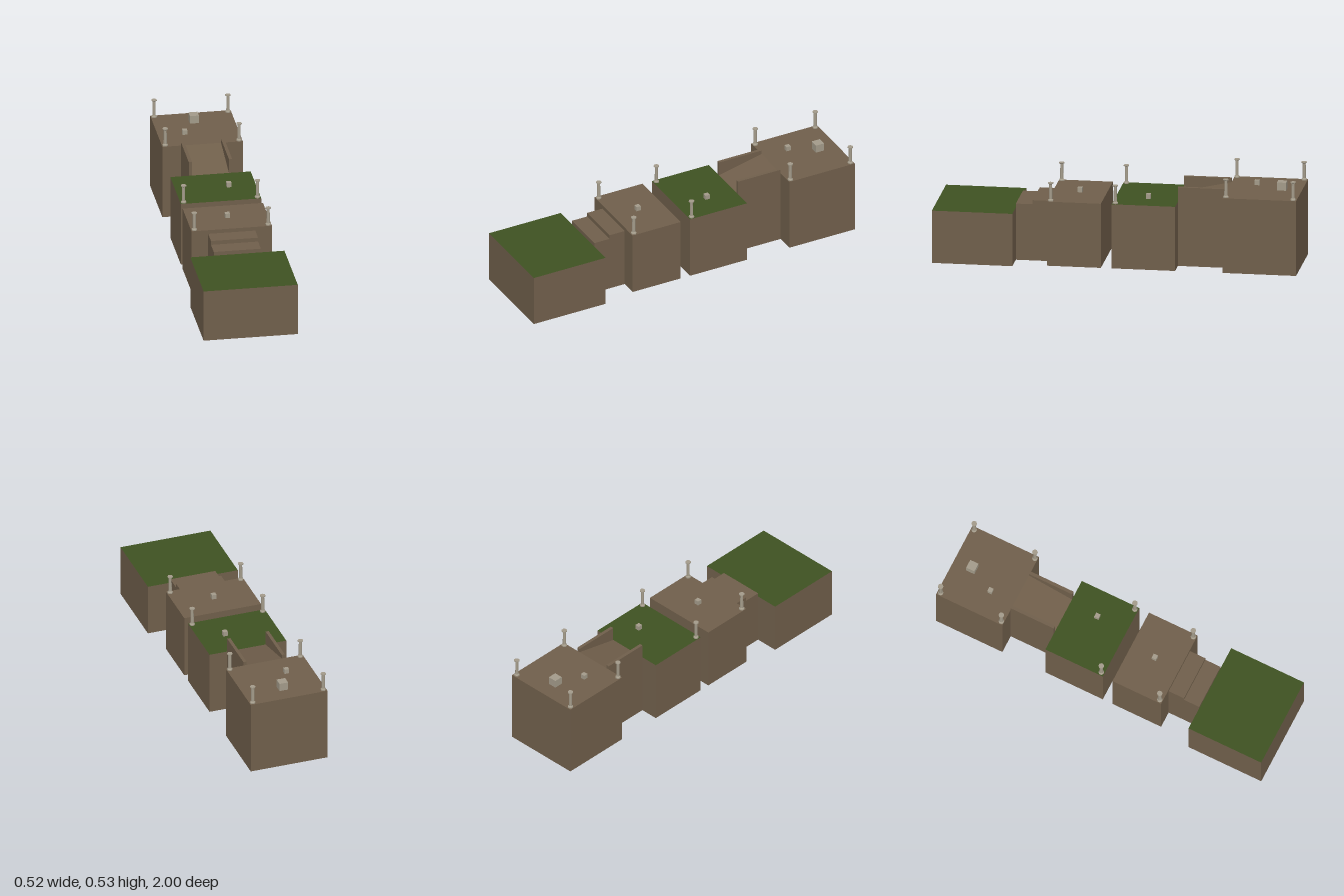
import * as THREE from 'three';

export function createModel() {
  const model = new THREE.Group();
  const earth = new THREE.MeshStandardMaterial({ color: 0x705f4b, side: THREE.DoubleSide });
  earth.name = 'earth brown';
  const grass = new THREE.MeshStandardMaterial({ color: 0x3f5222, side: THREE.DoubleSide });
  grass.name = 'grass green';
  const stone = new THREE.MeshStandardMaterial({ color: 0xa39b8a, flatShading: true });
  stone.name = 'pale stone';

  const add = (name, geometry, material, x = 0, y = 0, z = 0, parent = model) => {
    const mesh = new THREE.Mesh(geometry, material);
    mesh.name = name;
    mesh.position.set(x, y, z);
    parent.add(mesh);
    return mesh;
  };

  // Hollow block with four walls and a top, open underneath
  function block(name, x0, x1, z0, z1, height, topMaterial = earth) {
    const group = new THREE.Group();
    group.name = name;
    group.position.set((x0 + x1) / 2, 0, (z0 + z1) / 2);
    const walls = new THREE.BoxGeometry(x1 - x0, height, z1 - z0);
    const index = Array.from(walls.index.array);
    walls.setIndex([...index.slice(0, 12), ...index.slice(24)]);
    walls.clearGroups();
    add(name + 'Walls', walls, earth, 0, height / 2, 0, group);
    const top = new THREE.PlaneGeometry(x1 - x0, z1 - z0).rotateX(-Math.PI / 2);
    add(name + 'Top', top, topMaterial, 0, height, 0, group);
    model.add(group);
  }

  const low = 0.363, high = 0.423;

  // Platforms from front to back
  block('frontLawn', -0.26, 0.26, 0.557, 1, 0.296, grass);
  block('middlePlatform', -0.222, 0.222, 0.075, 0.371, low);
  block('middleLawn', -0.222, 0.222, -0.334, 0.016, low, grass);
  block('backPlatform', -0.222, 0.222, -1, -0.596, high);

  // Two steps up from the front lawn
  block('lowerStep', -0.13, 0.13, 0.464, 0.557, 0.318);
  block('upperStep', -0.13, 0.13, 0.371, 0.464, 0.341);

  // Ramp between two parapet walls
  const rampStart = -0.334, rampEnd = -0.596;
  const ramp = new THREE.PlaneGeometry(0.206, rampStart - rampEnd).rotateX(-Math.PI / 2);
  const p = ramp.attributes.position;
  for (let i = 0; i < p.count; i++) p.setY(i, p.getZ(i) > 0 ? low : high);
  ramp.computeVertexNormals();
  add('rampSurface', ramp, earth, 0, 0, (rampStart + rampEnd) / 2);
  block('rampWallLeft', 0.102, 0.12, rampEnd, rampStart, 0.445);
  block('rampWallRight', -0.12, -0.102, rampEnd, rampStart, 0.445);

  // Small columns: flared base, slim shaft, flared cap
  const profile = [
    [0, 0], [0.0155, 0], [0.0155, 0.006], [0.0095, 0.012],
    [0.0085, 0.095], [0.0155, 0.099], [0.0155, 0.104], [0, 0.104],
  ].map(([r, y]) => new THREE.Vector2(r, y));
  const columnGeometry = new THREE.LatheGeometry(profile, 8, Math.PI / 8);
  const columnRows = [[0.354, low], [-0.002, low], [-0.611, high], [-0.981, high]];
  for (const [z, y] of columnRows) {
    for (const side of [-1, 1]) add('column', columnGeometry, stone, side * 0.204, y, z);
  }

  // Loose stone cubes: size, x, base height, z
  const cubes = [
    [0.026, 0, low, 0.222],
    [0.026, 0.073, low, -0.165],
    [0.026, -0.075, high, -0.742],
    [0.05, 0, high, -0.89],
  ];
  for (const [s, x, y, z] of cubes) {
    const h = s > 0.03 ? 0.045 : s;
    add('stoneCube', new THREE.BoxGeometry(s, h, s), stone, x, y + h / 2, z);
  }

  return model;
}
